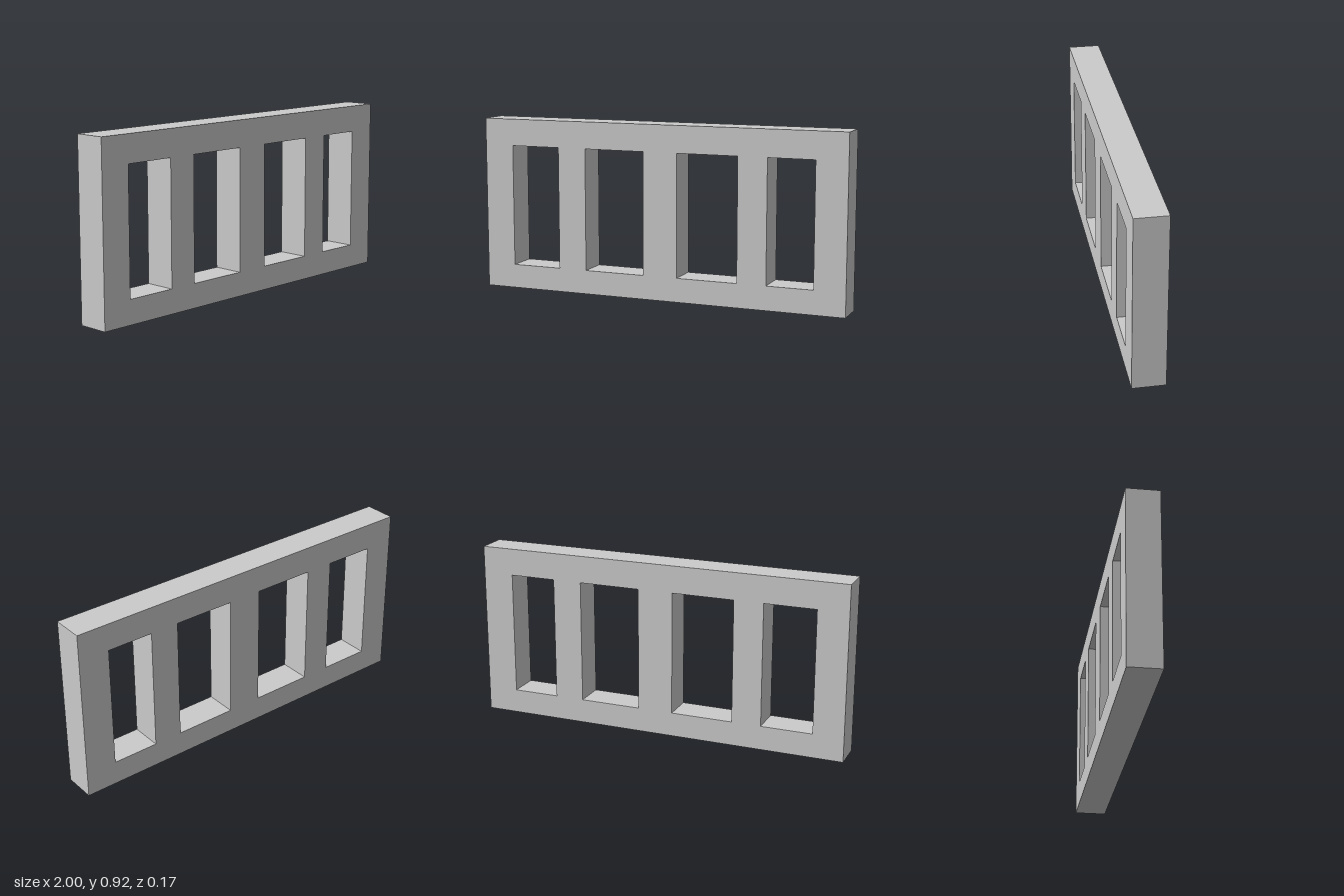
import * as THREE from 'three';

export function createModel() {
  const group = new THREE.Group();
  group.name = 'windowedPanel';

  const height = 0.917, depth = 0.167;
  const sill = 0.127, lintel = 0.775;
  // left and right edge of each opening
  const openings = [[-0.838, -0.566], [-0.41, -0.08], [0.107, 0.434], [0.589, 0.835]];

  const rectangle = (path, x0, y0, x1, y1) =>
    path.moveTo(x0, y0).lineTo(x1, y0).lineTo(x1, y1).lineTo(x0, y1).closePath();

  // Slab outline with rectangular openings
  const outline = rectangle(new THREE.Shape(), -1, 0, 1, height);
  for (const [x0, x1] of openings) {
    outline.holes.push(rectangle(new THREE.Path(), x0, sill, x1, lintel));
  }

  const geometry = new THREE.ExtrudeGeometry(outline, { depth, bevelEnabled: false });
  geometry.translate(0, 0, -depth / 2);

  const frame = new THREE.Mesh(
    geometry,
    new THREE.MeshStandardMaterial({ color: 0xcccccc, flatShading: true })
  );
  frame.name = 'frame';
  group.add(frame);
  return group;
}
